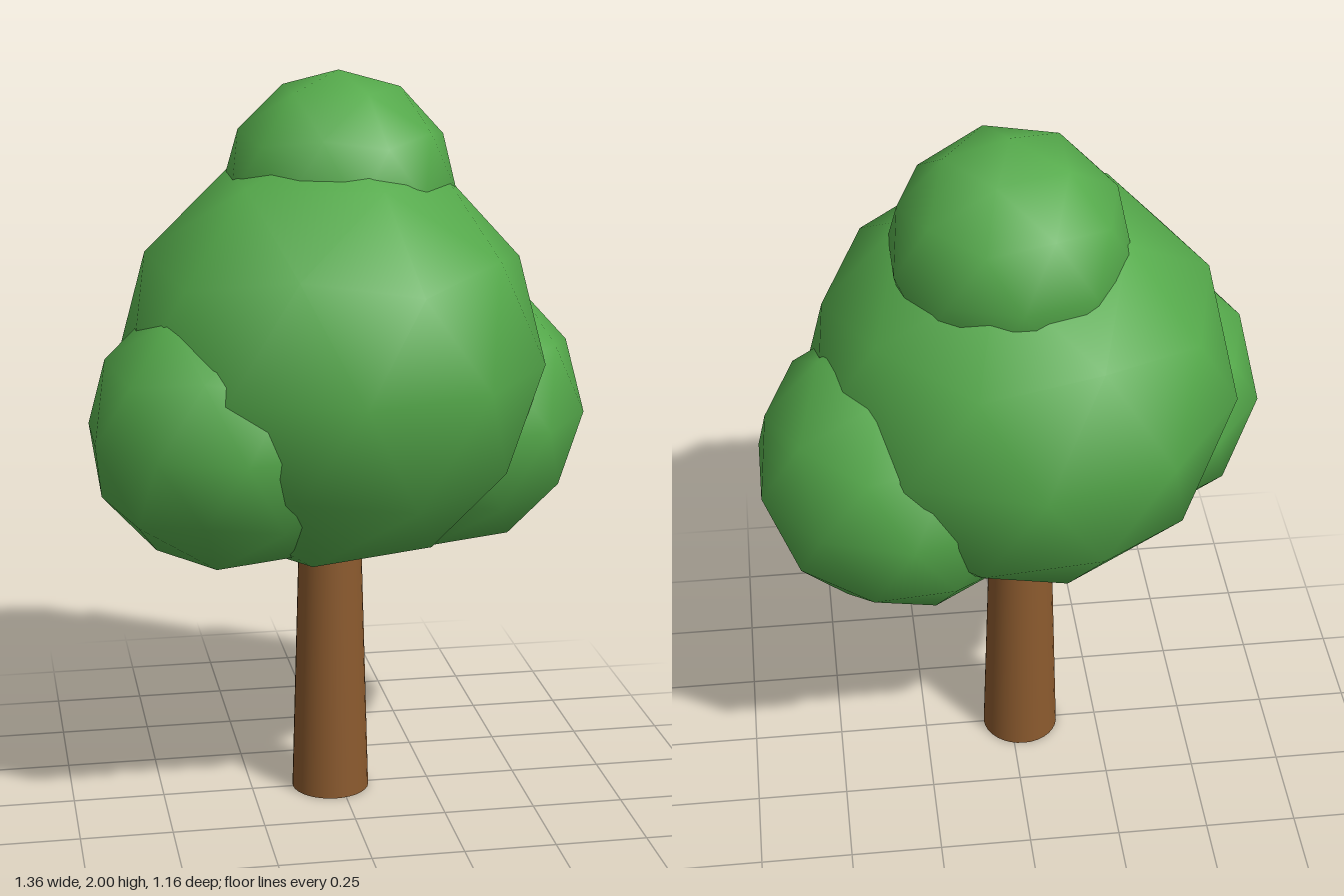
import * as THREE from 'three';

const leafGreen = new THREE.MeshStandardMaterial({ color: 0x55aa4b });
leafGreen.name = 'leaf green';
const barkBrown = new THREE.MeshStandardMaterial({ color: 0x8b5a2e });
barkBrown.name = 'bark brown';

// Smooth-shaded icosphere of 80 faces, turned so one of its corners points straight up
function foliageBall(name, radius, x, y, z) {
  const geometry = new THREE.IcosahedronGeometry(radius, 1);
  geometry.rotateZ(-Math.atan(2 / (1 + Math.sqrt(5))));
  const ball = new THREE.Mesh(geometry, leafGreen);
  ball.name = name;
  ball.position.set(x, y, z);
  return ball;
}

export function createModel() {
  const tree = new THREE.Group();
  tree.name = 'tree';

  // Tapered trunk, running up into the crown
  const height = 0.9;
  const trunk = new THREE.Mesh(new THREE.CylinderGeometry(0.081, 0.107, height, 32), barkBrown);
  trunk.name = 'trunk';
  trunk.position.set(-0.028, height / 2, 0);
  tree.add(trunk);

  // Crown of four overlapping balls
  const crown = new THREE.Group();
  crown.name = 'crown';
  crown.add(
    foliageBall('mainFoliage', 0.58, -0.028, 1.24, 0),
    foliageBall('topFoliage', 0.318, 0.01, 1.682, -0.083),
    foliageBall('leftFoliage', 0.398, 0.3, 1.06, -0.112),
    foliageBall('rightFoliage', 0.382, -0.318, 1.092, 0.14),
  );
  tree.add(crown);
  return tree;
}
